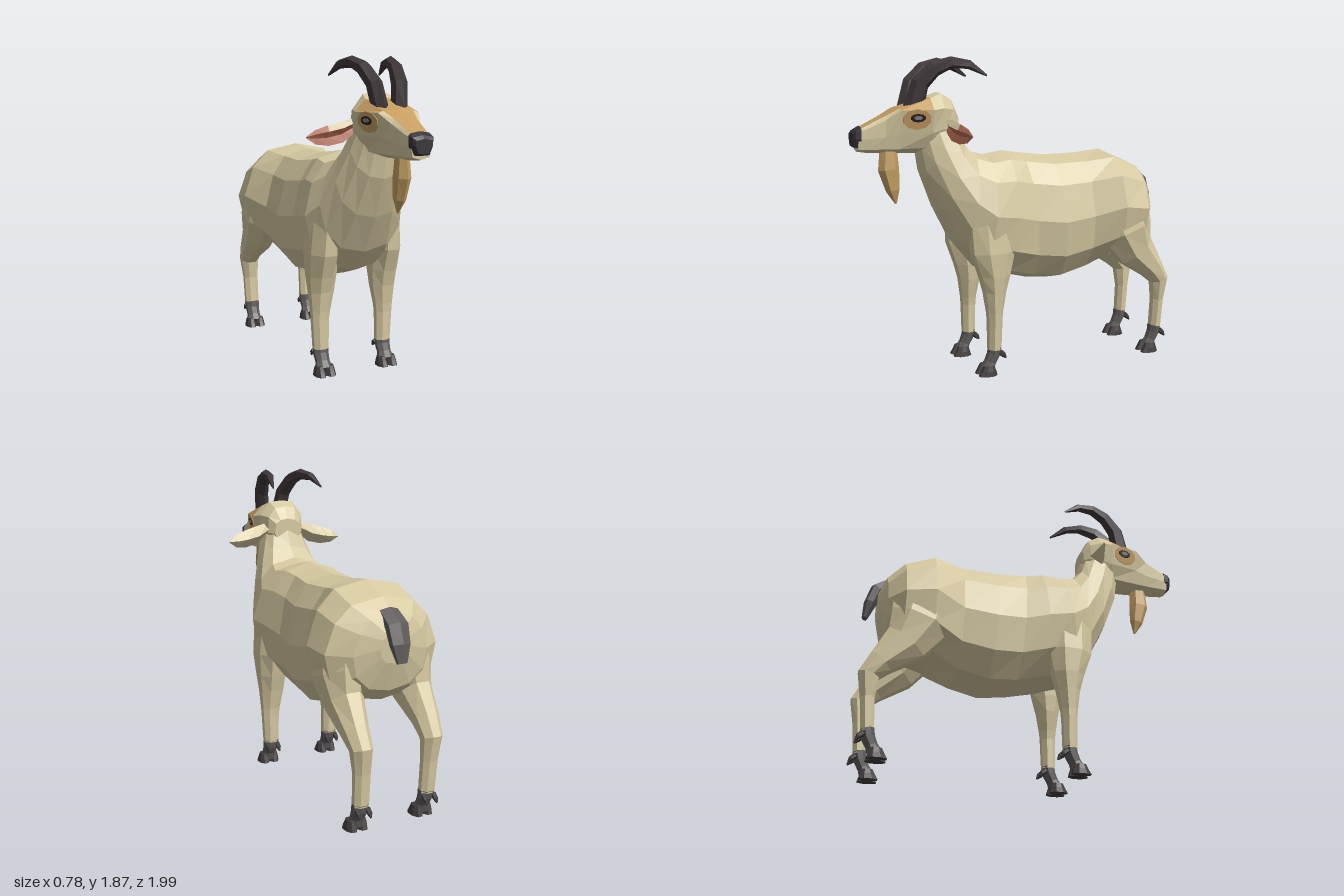
import * as THREE from 'three';

const mat = (name, color) => {
  const m = new THREE.MeshStandardMaterial({ color });
  m.name = name;
  return m;
};
const cream = mat('cream coat', 0xd6c9a1);
const tan = mat('tan face', 0xc69d61);
const beardTan = mat('beard tan', 0xc4a063);
const hornDark = mat('dark horn', 0x40373a);
const grey = mat('grey hair', 0x5f5b5b);
const hoofDark = mat('dark hoof', 0x453e3f);
const earPink = mat('inner ear', 0xb76d55);
const noseDark = mat('nose', 0x37333a);
const eyeDark = mat('eye rim', 0x2b2020);
const eyeGrey = mat('eye', 0x7d828c);

const V = (x, y, z) => new THREE.Vector3(x, y, z);

// Faceted skin over a list of rings, capped at both ends.
// pick(i, j) selects the material of a facet; s = -1 mirrors the part in x.
function loft(name, rings, mats, pick = () => 0, s = 1) {
  const lists = mats.map(() => []);
  const tri = (m, a, b, c) => {
    for (const p of s > 0 ? [a, b, c] : [a, c, b]) lists[m].push(p.x * s, p.y, p.z);
  };
  const n = rings[0].length;
  const last = rings.length - 1;
  const middle = r => r.reduce((a, p) => a.add(p), V(0, 0, 0)).divideScalar(n);
  const start = middle(rings[0]), end = middle(rings[last]);
  for (let j = 0; j < n; j++) {
    const k = (j + 1) % n;
    for (let i = 0; i < last; i++) {
      const a = rings[i], b = rings[i + 1], m = pick(i, j);
      tri(m, a[j], a[k], b[j]);
      tri(m, a[k], b[k], b[j]);
    }
    tri(0, start, rings[0][k], rings[0][j]);
    tri(0, end, rings[last][j], rings[last][k]);
  }
  const geo = new THREE.BufferGeometry();
  geo.setAttribute('position', new THREE.Float32BufferAttribute(lists.flat(), 3));
  let at = 0;
  lists.forEach((l, m) => {
    geo.addGroup(at, l.length / 3, m);
    at += l.length / 3;
  });
  geo.computeVertexNormals();
  const mesh = new THREE.Mesh(geo, mats.length > 1 ? mats : mats[0]);
  mesh.name = name;
  return mesh;
}

// Rings square to a path of [x, y, z, halfWidth, halfDepth]
function tube(path, sides = 8, fixed = null) {
  const pts = path.map(p => V(p[0], p[1], p[2]));
  return path.map((p, i) => {
    const t = fixed || pts[Math.min(i + 1, pts.length - 1)].clone().sub(pts[Math.max(i - 1, 0)]);
    const up = t.clone().cross(V(1, 0, 0)).normalize();
    return Array.from({ length: sides }, (_, j) => {
      const a = ((j + 0.5) / sides) * Math.PI * 2;
      return pts[i].clone().add(V(p[3] * Math.cos(a), 0, 0)).addScaledVector(up, p[4] * Math.sin(a));
    });
  });
}

// Trunk ring from a top point, a bottom point and a half width
const trunkHalf = [[0, -1], [0.55, -0.89], [0.9, -0.54], [1, 0], [0.83, 0.56], [0.55, 0.88], [0, 1]];
const trunkProfile = [...trunkHalf, ...trunkHalf.slice(1, -1).reverse().map(([x, y]) => [-x, y])];
const trunkRing = ([zt, yt, zb, yb, w]) => trunkProfile.map(([x, y]) => {
  const u = (y + 1) / 2;
  return V(w * x, yb + (yt - yb) * u, zb + (zt - zb) * u);
});

// Head ring: top, top edge, brow, cheek, jaw and chin heights with half widths
function headRing([z, yT, wT, yB, wB, yC, wC, yJ, wJ, yBot]) {
  const half = [[wJ, yJ], [wC, yC], [wB, yB], [wT, yT - 0.008]];
  return [V(0, yBot, z), ...half.map(([x, y]) => V(x, y, z)), V(0, yT, z),
    ...half.reverse().map(([x, y]) => V(-x, y, z))];
}

// Thin oval plate lying on the flat side of the head
function sidePlate(name, z, y, rz, ry, lift, material, s) {
  const ring = off => Array.from({ length: 10 }, (_, j) => {
    const a = (j / 10) * Math.PI * 2;
    const py = y + ry * Math.cos(a), pz = z + rz * Math.sin(a);
    return V(0.165 - 0.222 * (pz - 0.56) - 0.192 * (1.57 - py) + off, py, pz);
  });
  return loft(name, [ring(lift - 0.004), ring(lift)], [material], undefined, s);
}

// Pastern, dewclaws and low cloven hoof
function foot(x, z, s) {
  const g = new THREE.Group();
  g.name = 'foot';
  g.add(loft('pastern', tube([[x, 0.165, z, 0.05, 0.04], [x, 0.12, z + 0.008, 0.048, 0.038],
    [x, 0.075, z + 0.03, 0.044, 0.034], [x, 0.035, z + 0.048, 0.056, 0.042]]), [grey], undefined, s));
  for (const d of [-1, 1]) {
    const tx = x + d * 0.032;
    g.add(loft('toe', tube([[tx, 0.058, z + 0.05, 0.024, 0.034], [tx, 0.03, z + 0.052, 0.032, 0.046],
      [tx, 0, z + 0.056, 0.036, 0.06]], 8, V(0, -1, 0)), [hoofDark], undefined, s));
    g.add(loft('dewclaw', tube([[tx, 0.135, z - 0.02, 0.015, 0.018], [tx, 0.115, z - 0.045, 0.014, 0.016],
      [tx, 0.095, z - 0.06, 0.005, 0.005]], 6), [hoofDark], undefined, s));
  }
  return g;
}

export function createModel() {
  const goat = new THREE.Group();
  goat.name = 'goat';

  // Trunk and neck in one skin, rump to throat
  goat.add(loft('body', [
    [-0.905, 1.07, -0.895, 0.9, 0.09],
    [-0.865, 1.16, -0.85, 0.74, 0.23],
    [-0.77, 1.24, -0.77, 0.67, 0.352],
    [-0.6, 1.31, -0.6, 0.64, 0.37],
    [-0.42, 1.29, -0.43, 0.55, 0.29],
    [-0.2, 1.285, -0.25, 0.505, 0.3],
    [-0.02, 1.305, -0.08, 0.52, 0.27],
    [0.08, 1.32, 0.1, 0.565, 0.295],
    [0.2, 1.3, 0.27, 0.62, 0.318],
    [0.29, 1.32, 0.38, 0.75, 0.27],
    [0.35, 1.39, 0.5, 0.97, 0.215],
    [0.39, 1.5, 0.595, 1.2, 0.16],
    [0.43, 1.59, 0.62, 1.34, 0.125],
    [0.48, 1.6, 0.62, 1.4, 0.09],
  ].map(trunkRing), [cream]));

  // Head with tan forehead and bridge
  goat.add(loft('head', [
    [0.385, 1.56, 0.05, 1.53, 0.08, 1.47, 0.09, 1.42, 0.07, 1.4],
    [0.425, 1.635, 0.07, 1.57, 0.115, 1.47, 0.12, 1.4, 0.09, 1.36],
    [0.49, 1.67, 0.08, 1.58, 0.145, 1.46, 0.135, 1.37, 0.1, 1.33],
    [0.56, 1.645, 0.1, 1.57, 0.165, 1.44, 0.14, 1.355, 0.1, 1.32],
    [0.74, 1.588, 0.09, 1.57, 0.125, 1.44, 0.1, 1.35, 0.08, 1.322],
    [0.82, 1.545, 0.068, 1.515, 0.088, 1.42, 0.085, 1.35, 0.07, 1.325],
    [0.92, 1.495, 0.057, 1.468, 0.07, 1.41, 0.07, 1.35, 0.06, 1.33],
    [0.972, 1.47, 0.05, 1.45, 0.06, 1.41, 0.061, 1.352, 0.052, 1.338],
  ].map(headRing), [cream, tan],
  (i, j) => (i >= 3 && j >= 3 && j <= 6 && (i === 3 || j === 4 || j === 5) ? 1 : 0)));
  goat.add(loft('nose', [
    [0.955, 1.484, 0.055, 1.465, 0.067, 1.41, 0.067, 1.362, 0.046, 1.36],
    [0.985, 1.466, 0.05, 1.455, 0.063, 1.41, 0.062, 1.363, 0.042, 1.361],
    [1.0, 1.448, 0.04, 1.44, 0.05, 1.41, 0.05, 1.372, 0.034, 1.37],
  ].map(headRing), [noseDark]));
  goat.add(loft('beard', tube([[0, 1.34, 0.785, 0.036, 0.052], [0, 1.23, 0.785, 0.045, 0.063],
    [0, 1.11, 0.762, 0.034, 0.042], [0, 1.03, 0.745, 0.004, 0.006]], 6), [beardTan]));
  goat.add(loft('tail', tube([[0, 1.165, -0.82, 0.065, 0.035], [0, 1.105, -0.91, 0.07, 0.042],
    [0, 1.01, -0.945, 0.062, 0.036], [0, 0.915, -0.968, 0.032, 0.017]], 6), [grey]));

  for (const s of [1, -1]) {
    const side = new THREE.Group();
    side.name = s > 0 ? 'leftSide' : 'rightSide';
    goat.add(side);

    side.add(sidePlate('eyePatch', 0.653, 1.518, 0.08, 0.058, 0.004, tan, s));
    side.add(sidePlate('eyeRim', 0.648, 1.526, 0.042, 0.024, 0.008, eyeDark, s));
    side.add(sidePlate('eye', 0.648, 1.527, 0.024, 0.012, 0.011, eyeGrey, s));

    side.add(loft('horn', tube([
      [0.058, 1.58, 0.65, 0.042, 0.062], [0.078, 1.72, 0.615, 0.042, 0.055],
      [0.1, 1.802, 0.535, 0.039, 0.046], [0.122, 1.838, 0.44, 0.034, 0.034],
      [0.143, 1.826, 0.34, 0.025, 0.026], [0.165, 1.765, 0.24, 0.005, 0.006],
    ], 6), [hornDark], undefined, s));

    // Ear: x, top, height, rim z, thickness
    side.add(loft('ear', [
      [0.1, 1.535, 0.07, 0.49, 0.07], [0.19, 1.513, 0.115, 0.482, 0.08], [0.27, 1.493, 0.112, 0.462, 0.062],
      [0.34, 1.468, 0.078, 0.436, 0.035], [0.39, 1.432, 0.008, 0.42, 0.006],
    ].map(([x, top, h, z, d]) => [V(x, top, z - d * 0.3), V(x, top - h * 0.3, z),
      V(x, top - h * 0.6, z - d * 0.3), V(x, top - h, z - d * 0.15), V(x, top - h * 0.5, z - d)]),
    [cream, earPink], (i, j) => (j === 1 || j === 2 || (j === 0 && i > 1) ? 1 : 0), s));

    side.add(loft('frontLeg', tube([
      [0.2, 0.95, 0.23, 0.09, 0.15], [0.208, 0.74, 0.225, 0.1, 0.14], [0.207, 0.6, 0.215, 0.092, 0.098],
      [0.207, 0.5, 0.215, 0.08, 0.07], [0.213, 0.38, 0.217, 0.062, 0.05],
      [0.215, 0.33, 0.217, 0.057, 0.046], [0.211, 0.15, 0.218, 0.05, 0.042],
    ]), [cream], undefined, s));
    side.add(foot(0.211, 0.215, s));

    side.add(loft('hindLeg', tube([
      [0.19, 1.0, -0.63, 0.14, 0.21], [0.21, 0.82, -0.67, 0.145, 0.19], [0.22, 0.68, -0.745, 0.108, 0.135],
      [0.225, 0.55, -0.875, 0.078, 0.08], [0.222, 0.47, -0.935, 0.064, 0.063],
      [0.215, 0.34, -0.93, 0.052, 0.041], [0.212, 0.15, -0.917, 0.049, 0.038],
    ]), [cream], undefined, s));
    side.add(foot(0.212, -0.917, s));
  }
  return goat;
}
